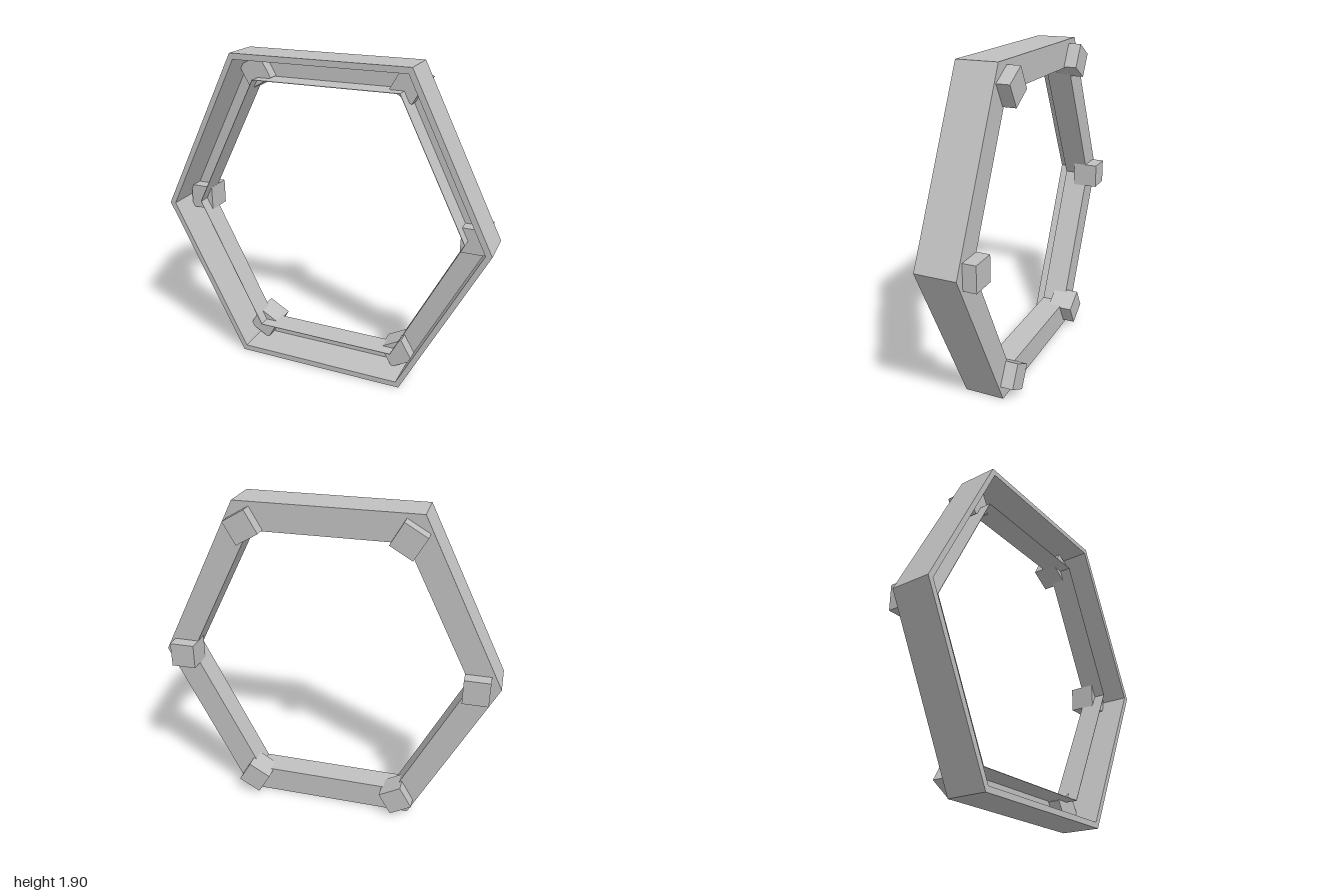
import * as THREE from 'three';

const MID = 0.95;
// Corners of the slightly flattened hexagon, starting at the model's left
const CORNERS = [[1, 0], [0.523, 0.95], [-0.523, 0.95], [-1, 0], [-0.523, -0.95], [0.523, -0.95]];
const hexagon = (s) => CORNERS.map(([x, y]) => new THREE.Vector2(x * s, y * s));

// Hexagonal ring between two scales, running from z0 to z1
function ring(name, outer, inner, z0, z1, material) {
  const shape = new THREE.Shape(hexagon(outer));
  shape.holes.push(new THREE.Path(hexagon(inner).reverse()));
  const geometry = new THREE.ExtrudeGeometry(shape, { depth: z1 - z0, bevelEnabled: false });
  const mesh = new THREE.Mesh(geometry, material);
  mesh.name = name;
  mesh.position.set(0, MID, z0);
  return mesh;
}

export function createModel() {
  const model = new THREE.Group();
  model.name = 'hexagonalFrame';
  const grey = new THREE.MeshStandardMaterial({ color: 0xc0c0c0 });
  grey.name = 'light grey';

  // Channel open to the front: outer wall, back plate and thin inner lip
  model.add(
    ring('outerWall', 1, 0.964, -0.08, 0.155, grey),
    ring('backPlate', 0.97, 0.832, -0.08, -0.072, grey),
    ring('innerLip', 0.835, 0.832, -0.08, 0.07, grey),
  );

  // Cube feet straddling the back plate at each corner
  const cube = new THREE.BoxGeometry(0.147, 0.147, 0.155);
  CORNERS.forEach(([x, y], i) => {
    const foot = new THREE.Mesh(cube, grey);
    foot.name = `cornerBlock${i + 1}`;
    foot.position.set(x * 0.868, MID + y * 0.868, -0.0775);
    foot.rotation.z = (i * Math.PI) / 3;
    model.add(foot);
  });
  return model;
}
